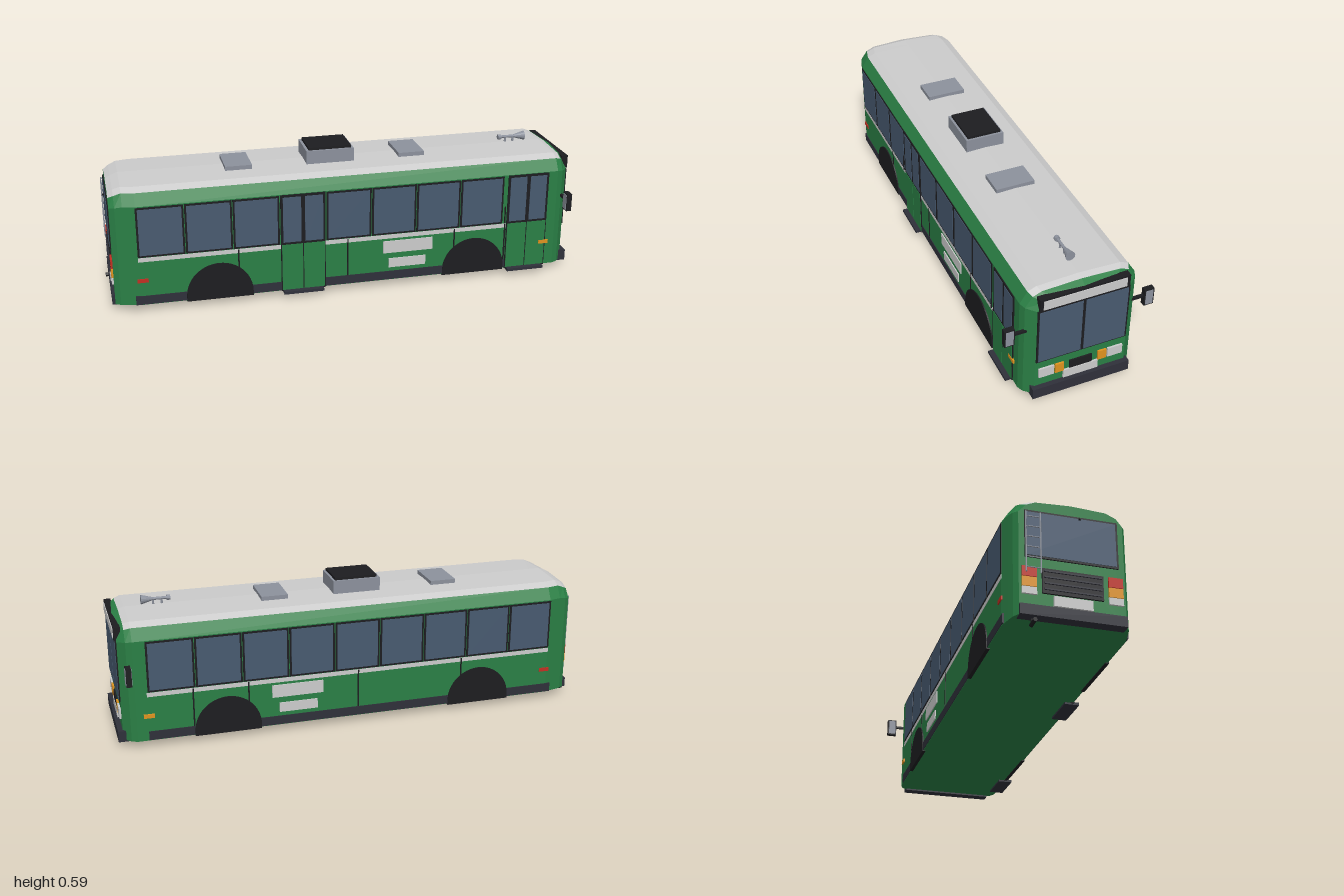
import * as THREE from 'three';

const GREEN = 0x2a7f45, ROOF = 0xc4c4c4, GLASS = 0x485a70, BLACK = 0x1d1d20, DARK = 0x2f303a,
  STEEL = 0x8c919c, WHITE = 0xc8c8c8, ORANGE = 0xe0931f, RED = 0xc22f22;

const mats = {};
const mat = (color) => (mats[color] ??= new THREE.MeshStandardMaterial({ color, flatShading: true }));

// Body cross-section at x, running from the +z sill over the roof to the -z sill
function section(x, hw, drop) {
  const half = [[hw, 0.032], [hw, 0.46 - drop * 0.4], [hw - 0.03, 0.508 - drop], [hw - 0.065, 0.523 - drop], [0, 0.53 - drop]];
  const mirrored = half.slice(0, 4).reverse().map(([z, y]) => [-z, y]);
  return [...half, ...mirrored].map(([z, y]) => [x, y, z]);
}

// Skins neighbouring sections over the strips accepted by the filter
function loft(rings, accept, caps) {
  const pos = [];
  const tri = (...p) => p.forEach((v) => pos.push(...v));
  const n = rings[0].length;
  for (let i = 0; i < rings.length - 1; i++) {
    for (let j = 0; j < n; j++) {
      if (!accept(i, j)) continue;
      const k = (j + 1) % n;
      const a = rings[i][j], b = rings[i + 1][j], c = rings[i + 1][k], d = rings[i][k];
      tri(a, b, c);
      tri(a, c, d);
    }
  }
  if (caps) {
    const first = rings[0], last = rings[rings.length - 1];
    for (let j = 1; j < n - 1; j++) {
      tri(first[0], first[j], first[j + 1]);
      tri(last[0], last[j + 1], last[j]);
    }
  }
  const g = new THREE.BufferGeometry();
  g.setAttribute('position', new THREE.Float32BufferAttribute(pos, 3));
  g.computeVertexNormals();
  return g;
}

export function createModel() {
  const bus = new THREE.Group();
  bus.name = 'bus';

  const add = (name, geo, color, parent = bus) => {
    const m = new THREE.Mesh(geo, mat(color));
    m.name = name;
    parent.add(m);
    return m;
  };
  // Box given by its extents on each axis
  const box = (name, [x0, x1], [y0, y1], [z0, z1], color, parent) => {
    const m = add(name, new THREE.BoxGeometry(x1 - x0, y1 - y0, z1 - z0), color, parent);
    m.position.set((x0 + x1) / 2, (y0 + y1) / 2, (z0 + z1) / 2);
    return m;
  };
  // Round rod between two points
  const rod = (name, a, b, r, color, r2 = r, sides = 6) => {
    const p = new THREE.Vector3(...a), q = new THREE.Vector3(...b);
    const m = add(name, new THREE.CylinderGeometry(r2, r, p.distanceTo(q), sides), color);
    m.position.copy(p).add(q).multiplyScalar(0.5);
    m.quaternion.setFromUnitVectors(new THREE.Vector3(0, 1, 0), q.sub(p).normalize());
    return m;
  };

  // Body shell and roof skin
  const rings = [
    section(-0.972, 0.2, 0.024), section(-0.95, 0.215, 0.012), section(-0.92, 0.223, 0), section(-0.87, 0.235, 0),
    section(0.92, 0.235, 0), section(0.945, 0.225, 0.008), section(0.975, 0.19, 0.024),
  ];
  const isRoof = (i, j) => j >= 2 && j <= 5 && i < 5;
  add('body', loft(rings, (i, j) => !isRoof(i, j), true), GREEN);
  add('roof', loft(rings, isRoof, false), ROOF);

  // Fittings on both long sides; s is the sign of z
  const pitch = 0.194, start = -0.872;
  const archShape = new THREE.Shape();
  archShape.moveTo(-0.138, 0.028);
  archShape.lineTo(-0.138, 0.048);
  archShape.absarc(0, 0.048, 0.138, Math.PI, 0, true);
  archShape.lineTo(0.138, 0.028);
  for (const s of [1, -1]) {
    const side = new THREE.Group();
    side.name = s > 0 ? 'leftSide' : 'rightSide';
    bus.add(side);
    const panel = (name, xs, ys, out, color) =>
      box(name, xs, ys, s > 0 ? [0.225, out] : [-out, -0.225], color, side);

    for (let i = 0; i < 9; i++) {
      if (s > 0 && (i === 3 || i === 8)) continue;
      const x = start + i * pitch;
      panel('windowFrame', [x, x + pitch - 0.003], [0.242, 0.456], 0.237, BLACK);
      panel('windowGlass', [x + 0.008, x + pitch - 0.011], [0.25, 0.448], 0.2385, GLASS);
    }
    panel('stripe', [-0.872, 0.875], [0.222, 0.24], 0.2365, WHITE);
    panel('skirt', [-0.89, 0.875], [0.034, 0.072], 0.2375, DARK);
    for (const x of [-0.465, -0.005, 0.462, 0.69]) panel('panelSeam', [x - 0.003, x + 0.003], [0.07, 0.238], 0.2372, BLACK);
    panel('sideSign', [0.148, 0.365], [0.157, 0.211], 0.2395, WHITE);
    panel('sidePlate', [0.173, 0.335], [0.09, 0.131], 0.2395, WHITE);
    panel('turnMarker', [0.848, 0.892], [0.132, 0.148], 0.242, ORANGE);
    panel('rearMarker', [-0.88, -0.835], [0.132, 0.148], 0.239, RED);

    for (const x of [-0.546, 0.55]) {
      const arch = add('wheelArch', new THREE.ExtrudeGeometry(archShape, { depth: 0.014, bevelEnabled: false, curveSegments: 16 }), BLACK, side);
      arch.position.set(x, 0, s > 0 ? 0.226 : -0.24);
    }

    // Mirror with arm
    const arm = s > 0 ? [0.215, 0.275] : [-0.275, -0.215];
    box('mirrorArm', [0.94, 0.952], [0.34, 0.35], arm, BLACK, side);
    box('mirrorHousing', [0.936, 0.958], [0.302, 0.378], s > 0 ? [0.268, 0.309] : [-0.309, -0.268], BLACK, side);
    for (const xs of [[0.957, 0.96], [0.934, 0.937]])
      box('mirrorFace', xs, [0.307, 0.373], s > 0 ? [0.273, 0.304] : [-0.304, -0.273], STEEL, side);
  }

  // Two-leaf doors with steps
  for (const [x0, x1] of [[-0.285, -0.105], [0.7, 0.875]]) {
    const door = new THREE.Group();
    door.name = 'door';
    bus.add(door);
    const mid = (x0 + x1) / 2;
    box('doorFrame', [x0 - 0.004, x1 + 0.004], [0.03, 0.458], [0.225, 0.2388], BLACK, door);
    for (const [a, b] of [[x0, mid - 0.002], [mid + 0.002, x1]]) {
      box('doorLeaf', [a, b], [0.036, 0.24], [0.225, 0.2405], GREEN, door);
      box('doorGlass', [a + 0.006, b - 0.006], [0.25, 0.448], [0.225, 0.2405], GLASS, door);
    }
    box('doorStep', [x0 + 0.003, x1 - 0.008], [0.024, 0.036], [0.2, 0.262], DARK, door);
    rod('grabRail', [x0 - 0.014, 0.245, 0.242], [x0 - 0.014, 0.32, 0.242], 0.003, BLACK);
  }

  // Front face
  box('windshieldFrame', [0.96, 0.98], [0.195, 0.45], [-0.188, 0.188], BLACK);
  for (const z of [[0.006, 0.181], [-0.181, -0.006]]) box('windshieldGlass', [0.96, 0.982], [0.2, 0.445], z, GLASS);
  box('signHousing', [0.956, 0.984], [0.452, 0.508], [-0.183, 0.183], BLACK);
  box('signPanel', [0.96, 0.987], [0.46, 0.5], [-0.169, 0.169], WHITE);
  for (const s of [1, -1]) {
    const lamp = (name, a, b, color) => box(name, [0.96, 0.983], [0.115, 0.158], s > 0 ? [a, b] : [-b, -a], color);
    lamp('headlight', 0.113, 0.176, WHITE);
    lamp('turnSignal', 0.072, 0.108, ORANGE);
  }
  box('frontGrille', [0.96, 0.982], [0.118, 0.155], [-0.047, 0.047], BLACK);
  box('frontPlate', [0.96, 0.983], [0.077, 0.115], [-0.073, 0.073], WHITE);
  box('frontBumper', [0.95, 0.995], [0.025, 0.072], [-0.204, 0.204], DARK);

  // Rear face
  box('rearWindowFrame', [-0.977, -0.96], [0.265, 0.46], [-0.178, 0.178], BLACK);
  box('rearWindowGlass', [-0.979, -0.96], [0.273, 0.452], [-0.17, 0.17], GLASS);
  box('engineGrille', [-0.979, -0.96], [0.125, 0.225], [-0.115, 0.115], BLACK);
  for (let i = 0; i < 4; i++) box('grilleSlat', [-0.984, -0.97], [0.138 + i * 0.024, 0.144 + i * 0.024], [-0.108, 0.108], DARK);
  for (const s of [1, -1]) {
    [[RED, 0.185, 0.225], [ORANGE, 0.145, 0.183], [WHITE, 0.115, 0.143]].forEach(([c, a, b]) =>
      box('rearLamp', [-0.98, -0.96], [a, b], s > 0 ? [0.135, 0.19] : [-0.19, -0.135], c));
  }
  box('rearPlate', [-0.981, -0.96], [0.078, 0.118], [-0.073, 0.073], WHITE);
  box('rearBumper', [-0.984, -0.94], [0.03, 0.072], [-0.2, 0.2], DARK);
  box('rearWiper', [-0.988, -0.965], [0.446, 0.452], [0.028, 0.036], BLACK);
  // Ladder
  for (const z of [-0.175, -0.12]) rod('ladderRail', [-0.984, 0.2, z], [-0.984, 0.45, z], 0.003, STEEL);
  for (let i = 0; i < 6; i++) rod('ladderRung', [-0.984, 0.22 + i * 0.042, -0.175], [-0.984, 0.22 + i * 0.042, -0.12], 0.0025, STEEL);
  // Exhaust
  rod('exhaustPipe', [-0.995, 0.0085, -0.148], [-0.945, 0.0085, -0.148], 0.0085, BLACK);
  rod('exhaustHanger', [-0.952, 0.012, -0.148], [-0.952, 0.04, -0.148], 0.004, BLACK);

  // Roof equipment
  box('airConditioner', [-0.145, 0.058], [0.515, 0.583], [-0.083, 0.083], STEEL);
  box('airConditionerLid', [-0.134, 0.048], [0.58, 0.594], [-0.073, 0.073], BLACK);
  for (const x of [-0.487, 0.254]) box('roofHatch', [x, x + 0.112], [0.515, 0.544], [-0.083, 0.083], STEEL);
  rod('hornPipe', [0.735, 0.552, 0], [0.805, 0.552, 0], 0.006, STEEL, 0.006, 10);
  rod('hornBell', [0.8, 0.552, 0], [0.85, 0.552, 0], 0.006, STEEL, 0.02, 14);
  rod('hornCap', [0.73, 0.552, 0], [0.745, 0.552, 0], 0.011, STEEL, 0.011, 10);
  for (const x of [0.765, 0.8]) rod('hornMount', [x, 0.525, 0], [x, 0.552, 0], 0.005, STEEL);

  return bus;
}
